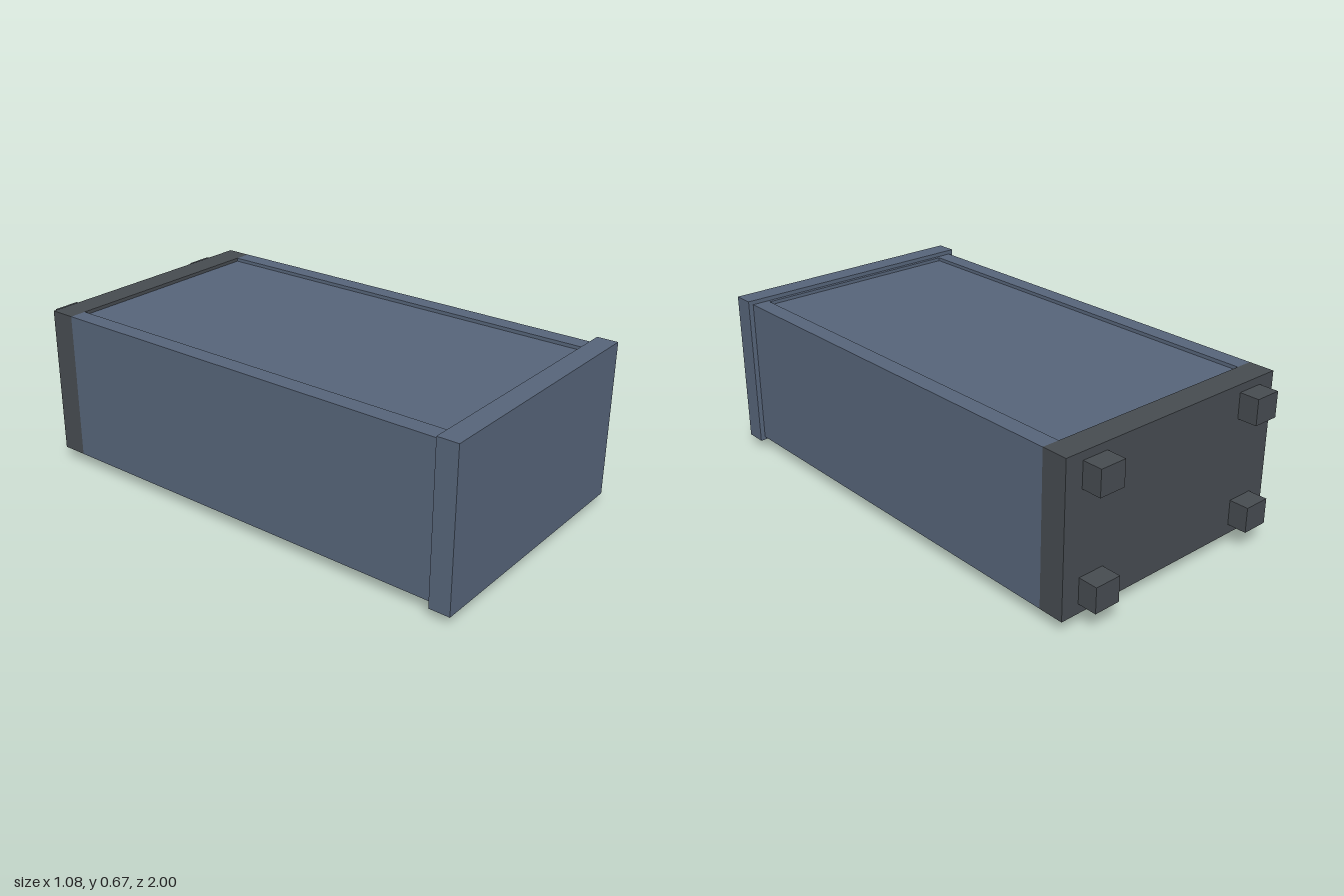
import * as THREE from 'three';

const paint = (color) => new THREE.MeshStandardMaterial({ color });
const blue = paint(0x566479);
const dark = paint(0x464b50);
const black = paint(0x303438);
const grey = paint(0x9a9c9c);
const teal = paint(0x4a8596);
const green = paint(0x2f8862);
const amber = paint(0xb89c4a);

// Box given by its limits on each axis
function box(parent, name, material, [x0, x1], [y0, y1], [z0, z1]) {
  const mesh = new THREE.Mesh(new THREE.BoxGeometry(x1 - x0, y1 - y0, z1 - z0), material);
  mesh.position.set((x0 + x1) / 2, (y0 + y1) / 2, (z0 + z1) / 2);
  mesh.name = name;
  parent.add(mesh);
  return mesh;
}

// Small upright indicator light
function light(parent, name, material, x, z, radius, y0, y1) {
  const mesh = new THREE.Mesh(new THREE.CylinderGeometry(radius, radius, y1 - y0, 12), material);
  mesh.position.set(x, (y0 + y1) / 2, z);
  mesh.name = name;
  parent.add(mesh);
}

// One drive bay with its rail, lever and three lights
function driveBay() {
  const bay = new THREE.Group();
  bay.name = 'driveBay';
  box(bay, 'bayTray', dark, [-0.435, 0.435], [0.033, 0.07], [-0.049, 0.049]);
  box(bay, 'bayRail', grey, [-0.39, 0.387], [0.017, 0.033], [0.023, 0.031]);
  box(bay, 'bayLever', grey, [-0.418, -0.278], [0.006, 0.028], [-0.032, -0.014]);
  [[0.283, amber], [0.316, amber], [0.354, green]].forEach(([x, m]) =>
    light(bay, 'bayLight', m, x, -0.023, 0.009, 0.007, 0.028));
  return bay;
}

export function createModel() {
  const model = new THREE.Group();
  model.name = 'serverTower';

  // Casing: core panels sit slightly inside the rims
  box(model, 'casingCore', blue, [-0.45, 0.45], [0.075, 0.641], [-0.815, 0.9]);
  box(model, 'bayPanel', black, [-0.45, 0.45], [0.062, 0.075], [-0.815, 0.9]);
  for (const s of [-1, 1]) {
    const x = s < 0 ? [-0.52, -0.45] : [0.45, 0.52];
    box(model, 'sideWall', blue, x, [0.05, 0.655], [-0.815, 0.915]);
  }
  box(model, 'frontRim', blue, [-0.45, 0.45], [0.05, 0.655], [0.9, 0.915]);

  // End slabs
  box(model, 'endCap', blue, [-0.54, 0.54], [0.037, 0.672], [0.915, 1]);
  box(model, 'basePlate', dark, [-0.52, 0.52], [0.05, 0.655], [-0.92, -0.815]);

  // Feet on the base plate
  for (const x of [-0.39, 0.39])
    for (const y of [0.14, 0.572])
      box(model, 'foot', dark, [x - 0.055, x + 0.055], [y - 0.051, y + 0.051], [-1, -0.92]);

  // Row of drive bays
  for (let i = 0; i < 12; i++) {
    const bay = driveBay();
    bay.position.z = 0.753 - i * 0.1334;
    model.add(bay);
  }

  // Display and status lights
  box(model, 'display', teal, [-0.038, 0.278], [0.002, 0.026], [0.857, 0.932]);
  [[-0.352, green], [-0.305, green], [-0.257, amber], [-0.21, amber]].forEach(([x, m]) =>
    light(model, 'statusLight', m, x, 0.895, 0.012, 0, 0.02));

  return model;
}
